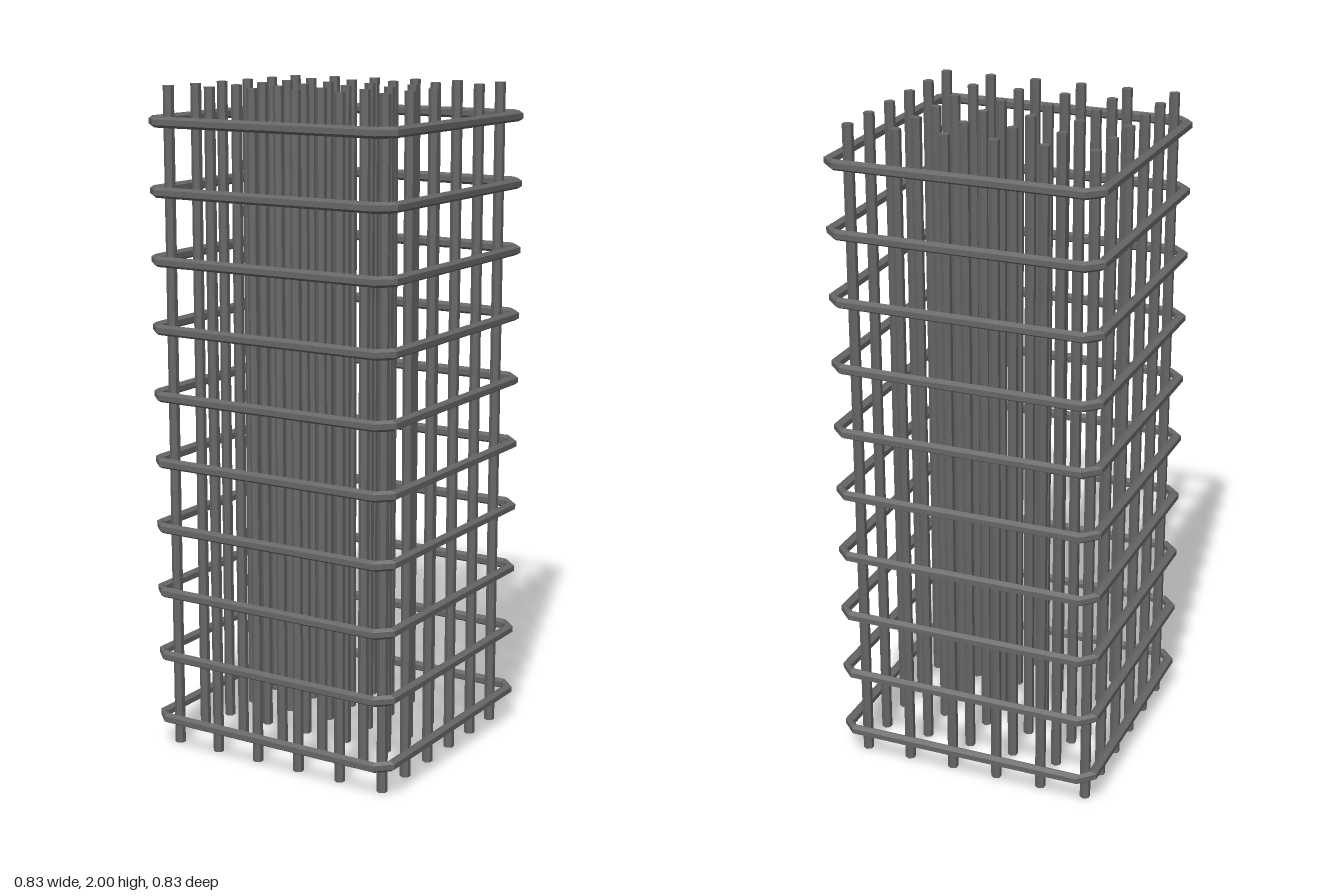
import * as THREE from 'three';

const BAR_R = 0.016;   // radius of every hexagonal rod
const SIDES = 6;

// Closed square hoop with cut corners, lofted through two sections per side
function hoopGeometry(half, straight) {
  const pos = [], index = [];
  for (let k = 0; k < 4; k++) {
    const nx = Math.round(Math.cos(k * Math.PI / 2)), nz = Math.round(Math.sin(k * Math.PI / 2));
    for (const s of [-straight, straight]) {
      for (let j = 0; j < SIDES; j++) {
        const a = (j + 0.5) * 2 * Math.PI / SIDES;
        const out = half + BAR_R * Math.cos(a);
        pos.push(nx * out - nz * s, BAR_R * Math.sin(a), nz * out + nx * s);
      }
    }
  }
  const sections = 8;
  for (let i = 0; i < sections; i++) {
    const p = i * SIDES, q = ((i + 1) % sections) * SIDES;
    for (let j = 0; j < SIDES; j++) {
      const j2 = (j + 1) % SIDES;
      index.push(p + j, p + j2, q + j, p + j2, q + j2, q + j);
    }
  }
  const g = new THREE.BufferGeometry();
  g.setAttribute('position', new THREE.Float32BufferAttribute(pos, 3));
  g.setIndex(index);
  g.computeVertexNormals();
  return g;
}

export function createModel() {
  const model = new THREE.Group();
  model.name = 'reinforcementCage';
  const steel = new THREE.MeshStandardMaterial({ color: 0x666666, flatShading: true });

  // Six by six grid of upright bars
  const bars = new THREE.Group();
  bars.name = 'verticalBars';
  const barGeo = new THREE.CylinderGeometry(BAR_R, BAR_R, 2, SIDES);
  for (let i = 0; i < 6; i++) {
    for (let j = 0; j < 6; j++) {
      const bar = new THREE.Mesh(barGeo, steel);
      bar.name = 'verticalBar';
      bar.position.set(-0.368 + i * 0.1445, 1, -0.334 + j * 0.1336);
      bars.add(bar);
    }
  }
  model.add(bars);

  // Ten hoops around the bars
  const hoops = new THREE.Group();
  hoops.name = 'hoops';
  const hoopGeo = hoopGeometry(0.401, 0.368);
  for (let i = 0; i < 10; i++) {
    const hoop = new THREE.Mesh(hoopGeo, steel);
    hoop.name = 'hoop';
    hoop.position.y = 0.1 + i * 0.2;
    hoops.add(hoop);
  }
  model.add(hoops);

  return model;
}
